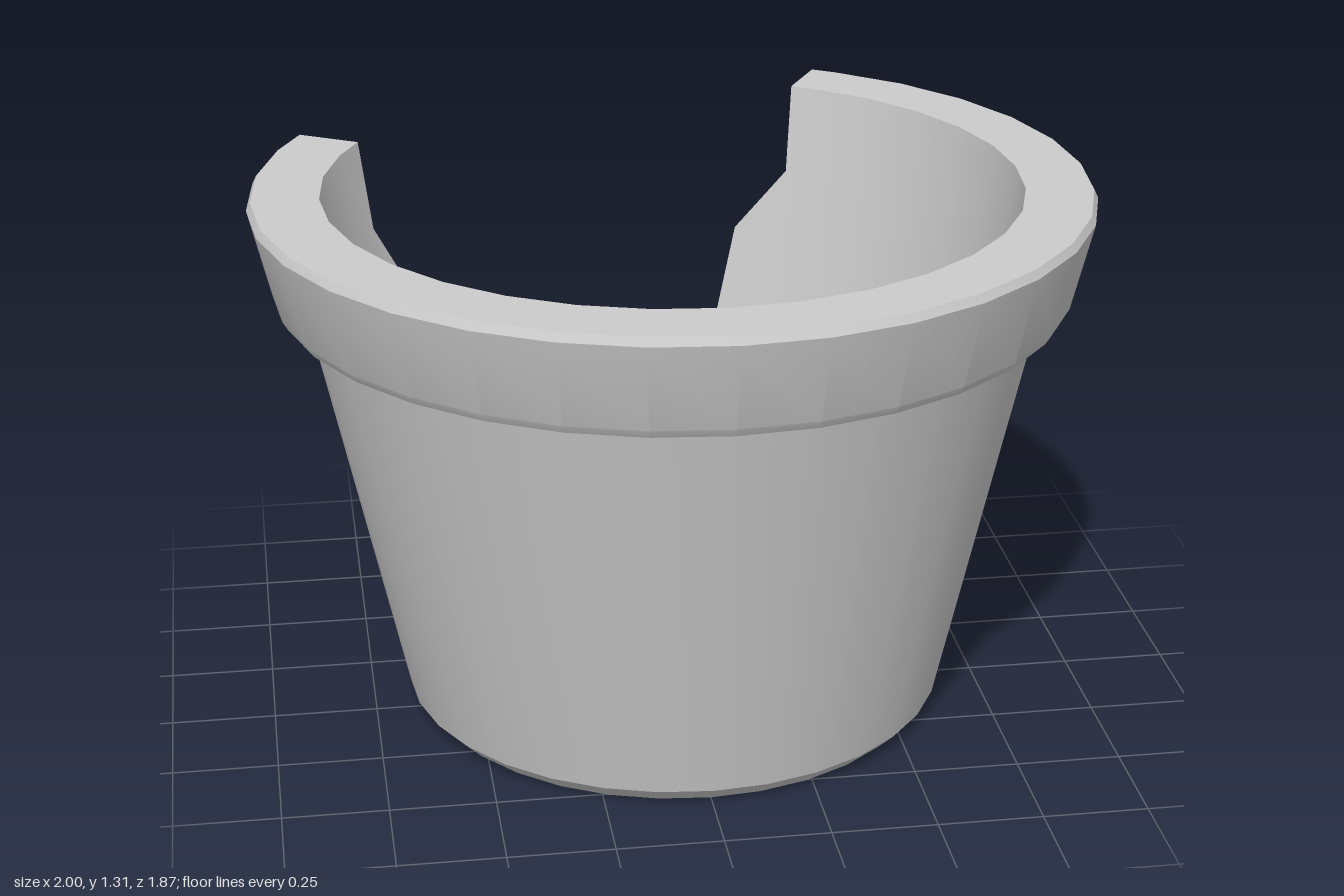
import * as THREE from 'three';
import { toCreasedNormals } from 'three/addons/utils/BufferGeometryUtils.js';

const CENTRE_Z = -0.07;
const FLOOR_Y = 0.28;
const STEP = 11.25;

// wall radii at a given height
const outerR = (y) => 0.66 + 0.2157 * (y - 0.04);
const innerR = (y) => 0.675 + 0.15 * (y - FLOOR_Y);

// jagged edge: [angle from the back toward +x, outer height, inner height]
const BREAK = [
  [-60, 1.06, 1.09], [-54, 0.92, 0.96], [-43.5, 0.78, 0.85], [-32, 0.4, 0.42],
  [-18, 0.31, 0.37], [-14.3, 0.14, 0.29], [-1.7, 0.1, FLOOR_Y], [11.4, 0.22, 0.33],
  [20.5, 0.81, 0.93], [30, 1.06, 1.09],
];

// rim outline, from the underside round to the inner lip
const RIM = [[0.938, 1.06], [0.95, 1.08], [1, 1.29], [0.99, 1.31], [0.83, 1.31]];

// half cross-section of the pot; where broken, the rim collapses to the cut
function section(angle, outerY = 1.06, innerY = 1.09, broken = false) {
  const cut = [outerR(outerY), outerY];
  const profile = [
    [0, 0], [0.62, 0], [0.66, 0.04], cut,
    ...RIM.map((p) => (broken ? cut : p)),
    [innerR(innerY), innerY], [innerR(FLOOR_Y), FLOOR_Y], [0, FLOOR_Y],
  ];
  const a = THREE.MathUtils.degToRad(angle);
  return profile.map(([r, y]) =>
    new THREE.Vector3(r * Math.sin(a), y, CENTRE_Z - r * Math.cos(a)));
}

// joins neighbouring sections, leaving out collapsed triangles
function loft(sections) {
  const positions = [];
  const addTriangle = (a, b, c) => {
    if (new THREE.Triangle(a, b, c).getArea() < 1e-7) return;
    for (const p of [a, b, c]) positions.push(p.x, p.y, p.z);
  };
  for (let i = 0; i < sections.length - 1; i++) {
    const s = sections[i], t = sections[i + 1];
    for (let j = 0; j < s.length - 1; j++) {
      addTriangle(s[j], s[j + 1], t[j + 1]);
      addTriangle(s[j], t[j + 1], t[j]);
    }
  }
  const geometry = new THREE.BufferGeometry();
  geometry.setAttribute('position', new THREE.Float32BufferAttribute(positions, 3));
  return toCreasedNormals(geometry, 0.35);
}

export function createModel() {
  const group = new THREE.Group();
  group.name = 'brokenFlowerPot';

  // broken stretch first, then the intact wall all the way round;
  // the doubled sections at both ends form the snapped rim faces
  const sections = BREAK.map(([a, o, i]) => section(a, o, i, true));
  sections.push(section(30));
  for (let a = 3 * STEP; a < 300; a += STEP) sections.push(section(a));
  sections.push(section(300), sections[0]);

  const pot = new THREE.Mesh(
    loft(sections),
    new THREE.MeshStandardMaterial({ color: 0xcccccc }),
  );
  pot.name = 'pot';
  group.add(pot);
  return group;
}
